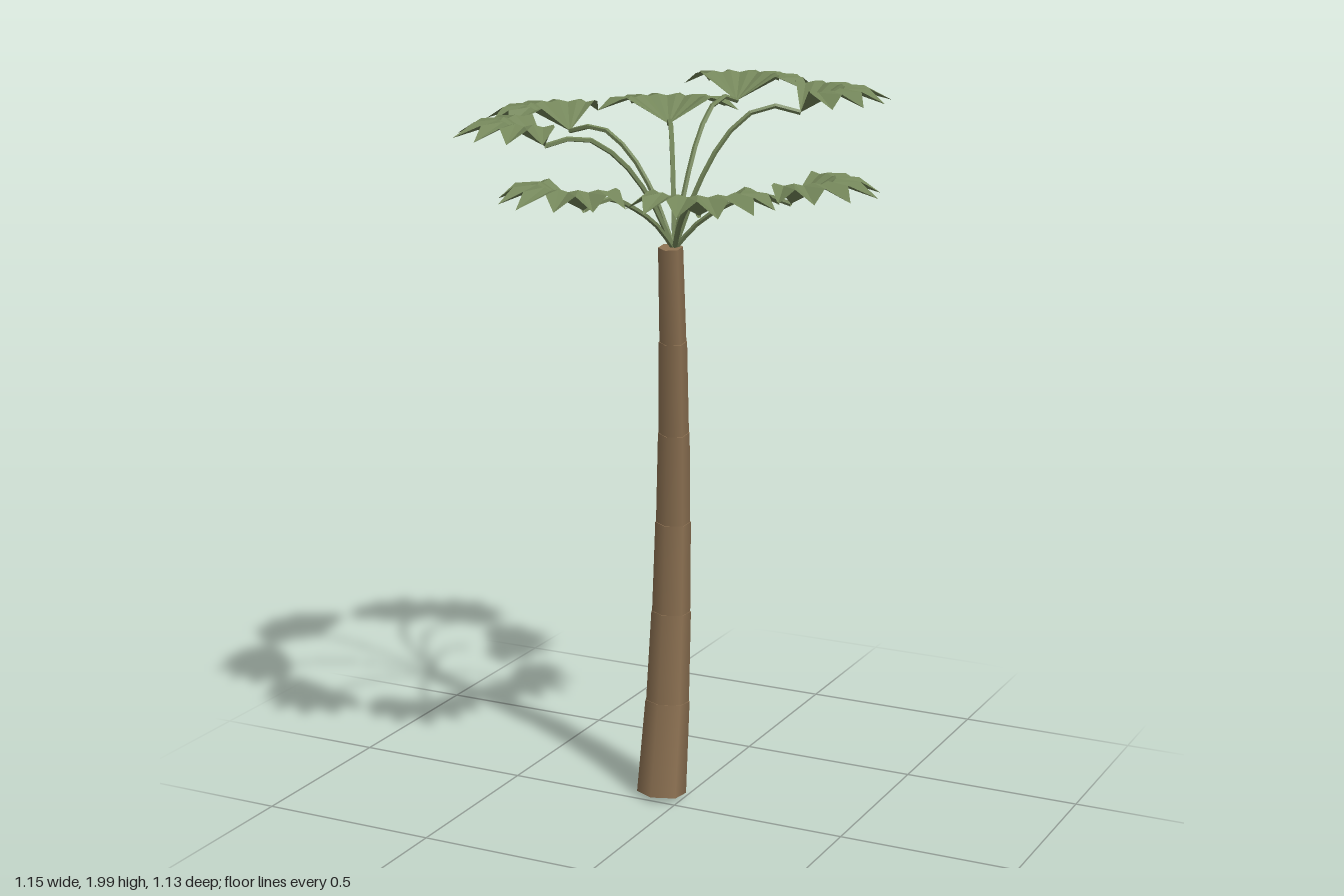
import * as THREE from 'three';

const bark = new THREE.MeshStandardMaterial({ color: 0x8c7152, flatShading: false });
bark.name = 'bark';
const leafGreen = new THREE.MeshStandardMaterial({ color: 0x74865a, flatShading: true, side: THREE.DoubleSide });
leafGreen.name = 'leaf green';

const CROWN = 1.57;

// Trunk joints: x, y, z, radius
const JOINTS = [
  [-0.067, 0.012, -0.055, 0.069],
  [-0.063, 0.275, -0.085, 0.060],
  [-0.057, 0.535, -0.096, 0.053],
  [-0.048, 0.795, -0.090, 0.047],
  [-0.033, 1.055, -0.064, 0.041],
  [-0.018, 1.315, -0.028, 0.036],
  [-0.006, 1.577, 0.010, 0.031],
];

// Fronds: x and z of the leaf base, height of the leaf's upper rim
const FRONDS = [
  [0.335, 0.005, 1.785],
  [0.280, -0.175, 1.995],
  [0.025, -0.330, 1.995],
  [-0.163, -0.298, 1.925],
  [-0.338, -0.055, 1.925],
  [-0.255, 0.234, 1.925],
  [-0.092, 0.332, 1.785],
  [0.203, 0.274, 1.785],
];

// Six-sided tapered log between two joints
function trunkSegment(a, b) {
  const start = new THREE.Vector3(a[0], a[1], a[2]);
  const end = new THREE.Vector3(b[0], b[1], b[2]);
  const axis = end.clone().sub(start);
  const mesh = new THREE.Mesh(new THREE.CylinderGeometry(b[3] + 0.002, a[3], axis.length(), 6), bark);
  mesh.position.copy(start).lerp(end, 0.5);
  mesh.quaternion.setFromUnitVectors(new THREE.Vector3(0, 1, 0), axis.normalize());
  mesh.name = 'trunkSegment';
  return mesh;
}

// Pleated half-round fan pointing along +x: rises from its base, teeth droop at the rim
function fanGeometry() {
  const rays = [];
  const ray = (deg, midY, edgeR, edgeY) => {
    const a = THREE.MathUtils.degToRad(deg);
    const at = (r, y) => [Math.cos(a) * r, y, -Math.sin(a) * r];
    rays.push([at(0.115, midY), at(edgeR, edgeY)]);
  };
  ray(-88, 0.07, 0.13, 0.066);
  for (let k = -3; k <= 3; k++) {
    ray(k * 25, 0.064, 0.24 - 0.013 * Math.abs(k), 0.03);
    if (k < 3) ray(k * 25 + 12.5, 0.07, 0.178, 0.064);
  }
  ray(88, 0.07, 0.13, 0.066);

  const pos = [];
  for (let i = 0; i < rays.length - 1; i++) {
    const [m0, e0] = rays[i];
    const [m1, e1] = rays[i + 1];
    pos.push(0, 0, 0, ...m0, ...m1);
    pos.push(...m0, ...e0, ...e1, ...m0, ...e1, ...m1);
  }
  const geometry = new THREE.BufferGeometry();
  geometry.setAttribute('position', new THREE.Float32BufferAttribute(pos, 3));
  geometry.computeVertexNormals();
  return geometry;
}

// Arched stem in the xy plane, from the crown out to the leaf base
function stemGeometry(reach, rise) {
  const curve = new THREE.CatmullRomCurve3([
    new THREE.Vector3(0, 0, 0),
    new THREE.Vector3(reach * 0.2, rise * 0.5, 0),
    new THREE.Vector3(reach * 0.45, rise * 0.88, 0),
    new THREE.Vector3(reach * 0.72, rise + 0.018, 0),
    new THREE.Vector3(reach, rise, 0),
  ]);
  return new THREE.TubeGeometry(curve, 8, 0.007, 5);
}

export function createModel() {
  const model = new THREE.Group();
  model.name = 'fanPalm';

  const trunk = new THREE.Group();
  trunk.name = 'trunk';
  for (let i = 0; i < JOINTS.length - 1; i++) trunk.add(trunkSegment(JOINTS[i], JOINTS[i + 1]));
  model.add(trunk);

  const fan = fanGeometry();
  for (const [x, z, top] of FRONDS) {
    const frond = new THREE.Group();
    frond.name = 'frond';
    frond.position.y = CROWN;
    frond.rotation.y = Math.atan2(-z, x);

    const reach = Math.hypot(x, z);
    const rise = top - 0.07 - CROWN;
    const stem = new THREE.Mesh(stemGeometry(reach, rise), leafGreen);
    stem.name = 'stem';
    const leaf = new THREE.Mesh(fan, leafGreen);
    leaf.name = 'leaf';
    leaf.position.set(reach, rise, 0);
    frond.add(stem, leaf);
    model.add(frond);
  }
  return model;
}
